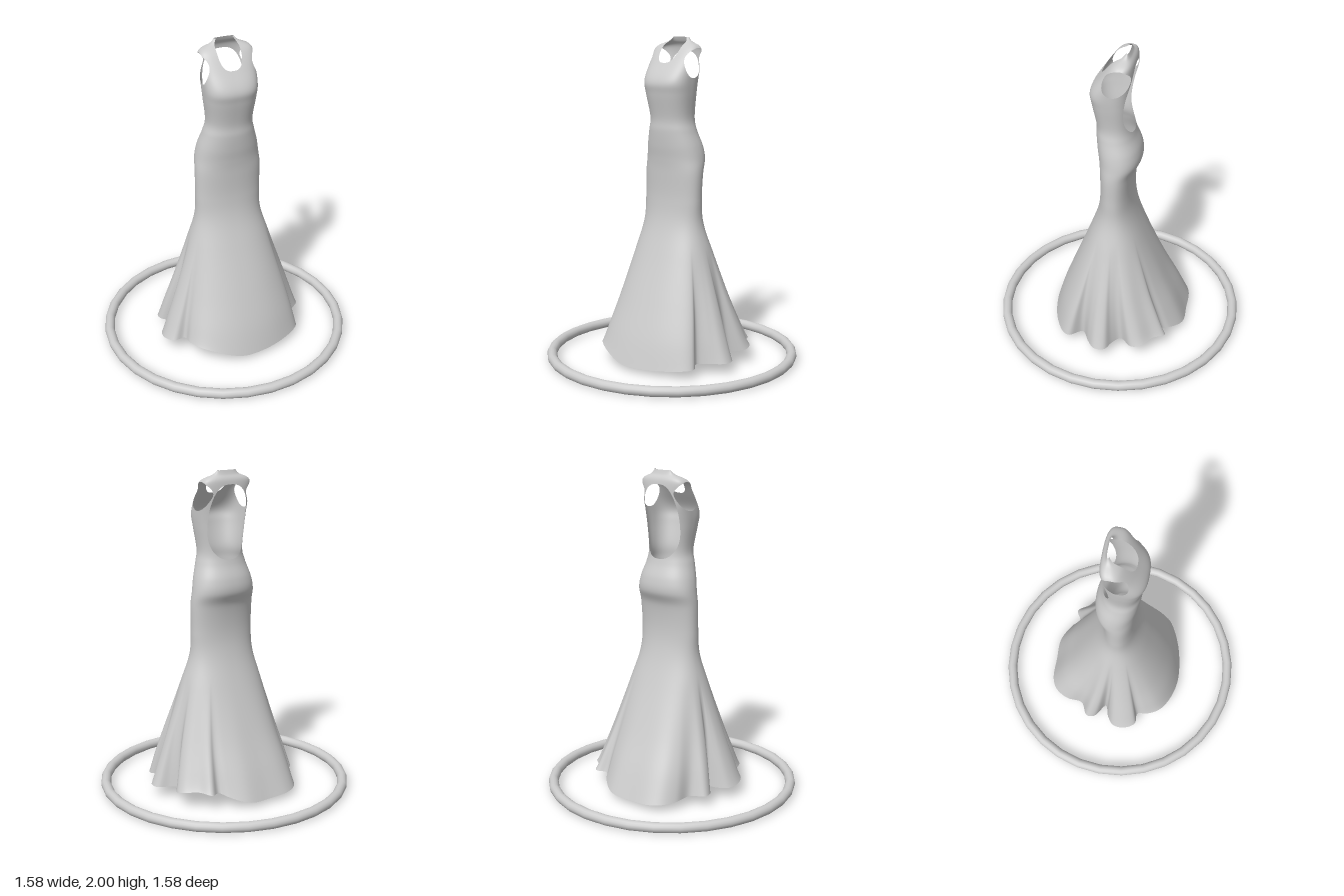
import * as THREE from 'three';
import { mergeVertices } from 'three/addons/utils/BufferGeometryUtils.js';

// Dress stations from collar to hem: y, x right, x left, z front, z back, squareness
const STATIONS = [
  [2.0, -0.04, 0.085, -0.05, -0.068, 2.6],
  [1.975, -0.065, 0.11, -0.025, -0.078, 2.8],
  [1.935, -0.142, 0.182, 0.03, -0.1, 3],
  [1.84, -0.144, 0.186, 0.1, -0.106, 2.9],
  [1.74, -0.142, 0.184, 0.16, -0.1, 2.7],
  [1.66, -0.135, 0.178, 0.155, -0.095, 2.5],
  [1.52, -0.12, 0.165, 0.13, -0.092, 2.3],
  [1.44, -0.138, 0.18, 0.13, -0.106, 2.2],
  [1.35, -0.165, 0.207, 0.123, -0.138, 2.2],
  [1.27, -0.18, 0.222, 0.113, -0.143, 2.2],
  [1.18, -0.187, 0.23, 0.107, -0.107, 2.2],
  [1.02, -0.188, 0.228, 0.106, -0.095, 2.2],
  [0.87, -0.195, 0.235, 0.127, -0.117, 2.2],
  [0.68, -0.245, 0.292, 0.19, -0.18, 2.3],
  [0.4, -0.323, 0.375, 0.297, -0.29, 2.4],
  [0.2, -0.375, 0.425, 0.372, -0.375, 2.5],
  [0.03, -0.41, 0.46, 0.425, -0.44, 2.5],
];

// Ruffled hem outline, x and z
const HEM = [
  [-0.04, -0.447], [0.11, -0.445], [0.215, -0.38], [0.255, -0.335], [0.32, -0.365], [0.37, -0.295],
  [0.445, -0.23], [0.455, -0.17], [0.385, -0.085], [0.425, -0.04], [0.495, 0], [0.497, 0.065],
  [0.44, 0.115], [0.355, 0.17], [0.405, 0.25], [0.38, 0.295], [0.215, 0.38], [-0.02, 0.42],
  [-0.185, 0.39], [-0.29, 0.33], [-0.335, 0.25], [-0.345, 0.185], [-0.415, 0.18], [-0.455, 0.105],
  [-0.445, 0.03], [-0.395, -0.01], [-0.32, -0.04], [-0.405, -0.105], [-0.41, -0.16],
  [-0.325, -0.21], [-0.31, -0.315], [-0.26, -0.4], [-0.185, -0.44],
];

const MID = 0.021;
const COLUMNS = 224;
const STEPS = 8;

// Smooth blend through the stations
function station(s) {
  const last = STATIONS.length - 1;
  const i = Math.min(Math.floor(s), last - 1);
  const t = s - i;
  const at = (k) => STATIONS[Math.max(0, Math.min(last, k))];
  return STATIONS[0].map((_, c) => {
    const p0 = at(i - 1)[c], p1 = at(i)[c], p2 = at(i + 1)[c], p3 = at(i + 2)[c];
    return p1 + 0.5 * t * (p2 - p0 + t * (2 * p0 - 5 * p1 + 4 * p2 - p3 + t * (3 * (p1 - p2) + p3 - p0)));
  });
}

// Unit superellipse radius in direction phi
const unitRadius = (phi, n) =>
  (Math.abs(Math.cos(phi)) ** n + Math.abs(Math.sin(phi)) ** n) ** (-1 / n);

// Direction and pleat depth of each column, from the hem outline
function hemColumns() {
  const curve = new THREE.CatmullRomCurve3(HEM.map(([x, z]) => new THREE.Vector3(x, 0, z)), true);
  const [, xr, xl, zf, zb, n] = STATIONS[STATIONS.length - 1];
  return curve.getSpacedPoints(COLUMNS).map((p) => {
    const u = (2 * p.x - xl - xr) / (xl - xr);
    const v = (2 * p.z - zf - zb) / (zf - zb);
    const phi = Math.atan2(v, u);
    return { phi, pleat: Math.hypot(u, v) / unitRadius(phi, n) - 1 };
  });
}

function dressPoint(s, { phi, pleat }) {
  const [y, xr, xl, zf, zb, n] = station(s);
  const fade = Math.max(0, 1 - (y - 0.03) / 0.72) ** 1.3;
  const r = unitRadius(phi, n) * (1 + pleat * fade);
  const c = Math.cos(phi), d = Math.sin(phi);
  // The hem lifts at the sides, most at the back left
  const lift = (0.04 * c * c + 0.06 * Math.max(0, -2 * c * d) ** 2) * fade ** 4;
  return new THREE.Vector3(
    (xl + xr) / 2 + ((xl - xr) / 2) * r * c, y + lift, (zf + zb) / 2 + ((zf - zb) / 2) * r * d);
}

// Openings: negative inside the hole
const neckHole = (p) => p.y < 1.8 ? 1
  : Math.abs((p.x - MID) / 0.074) ** 2.7 + Math.abs((p.z - 0.015) / 0.08) ** 2.7 - 1;
const armHole = (p) => Math.abs(p.x - MID) < 0.09 ? 1
  : ((p.z + 0.012 - (1.85 - p.y) * 0.25) / 0.079) ** 2 + ((p.y - 1.848) / 0.088) ** 2 - 1;
const backHole = (p) => p.z > -0.03 ? 1
  : Math.abs((p.x - MID) / 0.132) ** 2.6 + Math.abs((p.y - 1.693) / 0.225) ** 2.6 - 1;

// Keep the part of a polygon outside a hole
function clip(poly, hole) {
  const out = [];
  poly.forEach((a, i) => {
    const b = poly[(i + 1) % poly.length];
    const fa = hole(a), fb = hole(b);
    if (fa >= 0) out.push(a);
    if ((fa < 0) !== (fb < 0)) out.push(a.clone().lerp(b, fa / (fa - fb)));
  });
  return out;
}

function dressGeometry() {
  const columns = hemColumns();
  columns[COLUMNS] = columns[0];
  const rows = [];
  for (let i = 0; i <= (STATIONS.length - 1) * STEPS; i++) {
    rows.push(columns.map((col) => dressPoint(i / STEPS, col)));
  }
  const pos = [];
  const addTriangle = (...tri) => {
    const poly = [neckHole, armHole, backHole].reduce(clip, tri);
    for (let k = 1; k + 1 < poly.length; k++) {
      for (const p of [poly[0], poly[k], poly[k + 1]]) pos.push(p.x, p.y, p.z);
    }
  };
  for (let i = 0; i + 1 < rows.length; i++) {
    for (let j = 0; j < COLUMNS; j++) {
      const a = rows[i][j], b = rows[i][j + 1], c = rows[i + 1][j], d = rows[i + 1][j + 1];
      addTriangle(a, b, c);
      addTriangle(b, d, c);
    }
  }
  const geometry = new THREE.BufferGeometry();
  geometry.setAttribute('position', new THREE.Float32BufferAttribute(pos, 3));
  const merged = mergeVertices(geometry, 1e-5);
  merged.computeVertexNormals();
  return merged;
}

export function createModel() {
  const group = new THREE.Group();

  // Sleeveless open-backed gown
  const dress = new THREE.Mesh(
    dressGeometry(), new THREE.MeshStandardMaterial({ color: 0xcccccc, side: THREE.DoubleSide }));
  dress.name = 'dress';
  group.add(dress);

  // Ring lying on the floor
  const ring = new THREE.Mesh(
    new THREE.TorusGeometry(0.757, 0.031, 14, 32), new THREE.MeshStandardMaterial({ color: 0xcccccc }));
  ring.name = 'floorRing';
  ring.rotation.x = -Math.PI / 2;
  ring.position.y = 0.031;
  group.add(ring);

  return group;
}
